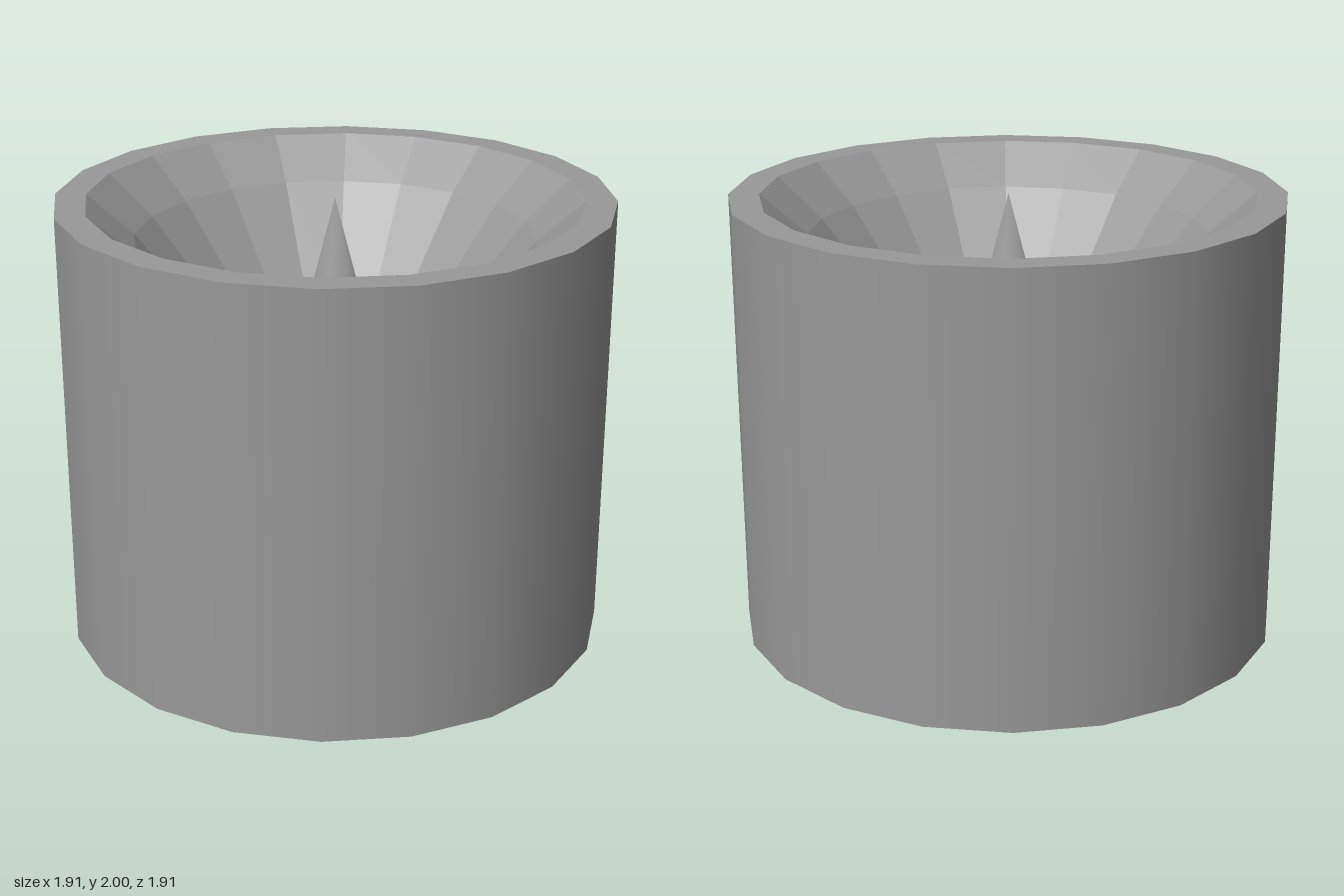
import * as THREE from 'three';
import { mergeVertices } from 'three/addons/utils/BufferGeometryUtils.js';

const SIDES = 20, RADIUS = 0.955, TOP = 2, BASE = 0.44, BOWL_RADIUS = 0.85;

// Gives every face its own normal
function faceted(geometry) {
  const flat = geometry.toNonIndexed();
  flat.computeVertexNormals();
  return flat;
}

export function createModel() {
  const model = new THREE.Group();
  const grey = new THREE.MeshStandardMaterial({ color: 0x999999 });
  grey.name = 'grey';

  const add = (name, geometry, y = 0) => {
    const mesh = new THREE.Mesh(geometry, grey);
    mesh.name = name;
    mesh.position.y = y;
    model.add(mesh);
  };

  // Smooth drum wall, closed by a flat rim and a flat underside
  const height = TOP - BASE;
  add('drumWall', new THREE.CylinderGeometry(RADIUS, RADIUS, height, SIDES, 1, true), BASE + height / 2);
  add('rim', new THREE.RingGeometry(BOWL_RADIUS, RADIUS, SIDES).rotateX(-Math.PI / 2), TOP);
  add('underside', new THREE.CircleGeometry(RADIUS, SIDES).rotateX(Math.PI / 2), BASE);

  // Faceted bowl, from the rim down to the centre
  const profile = [[BOWL_RADIUS, 2], [0.69, 1.86], [0.4, 1.51], [0.25, 1.43], [0, 1.33]]
    .map(([x, y]) => new THREE.Vector2(x, y));
  add('bowl', faceted(new THREE.LatheGeometry(profile, SIDES)));

  // Central spike with normals blended towards its tip
  let spike = new THREE.ConeGeometry(0.16, 0.63, 24, 1, true);
  spike.deleteAttribute('normal');
  spike.deleteAttribute('uv');
  spike = mergeVertices(spike);
  spike.computeVertexNormals();
  add('spike', spike, TOP - 0.315);

  // Ten-sided stem
  add('stem', faceted(new THREE.CylinderGeometry(0.083, 0.083, BASE, 10).rotateY(Math.PI / 2)), BASE / 2);

  return model;
}
